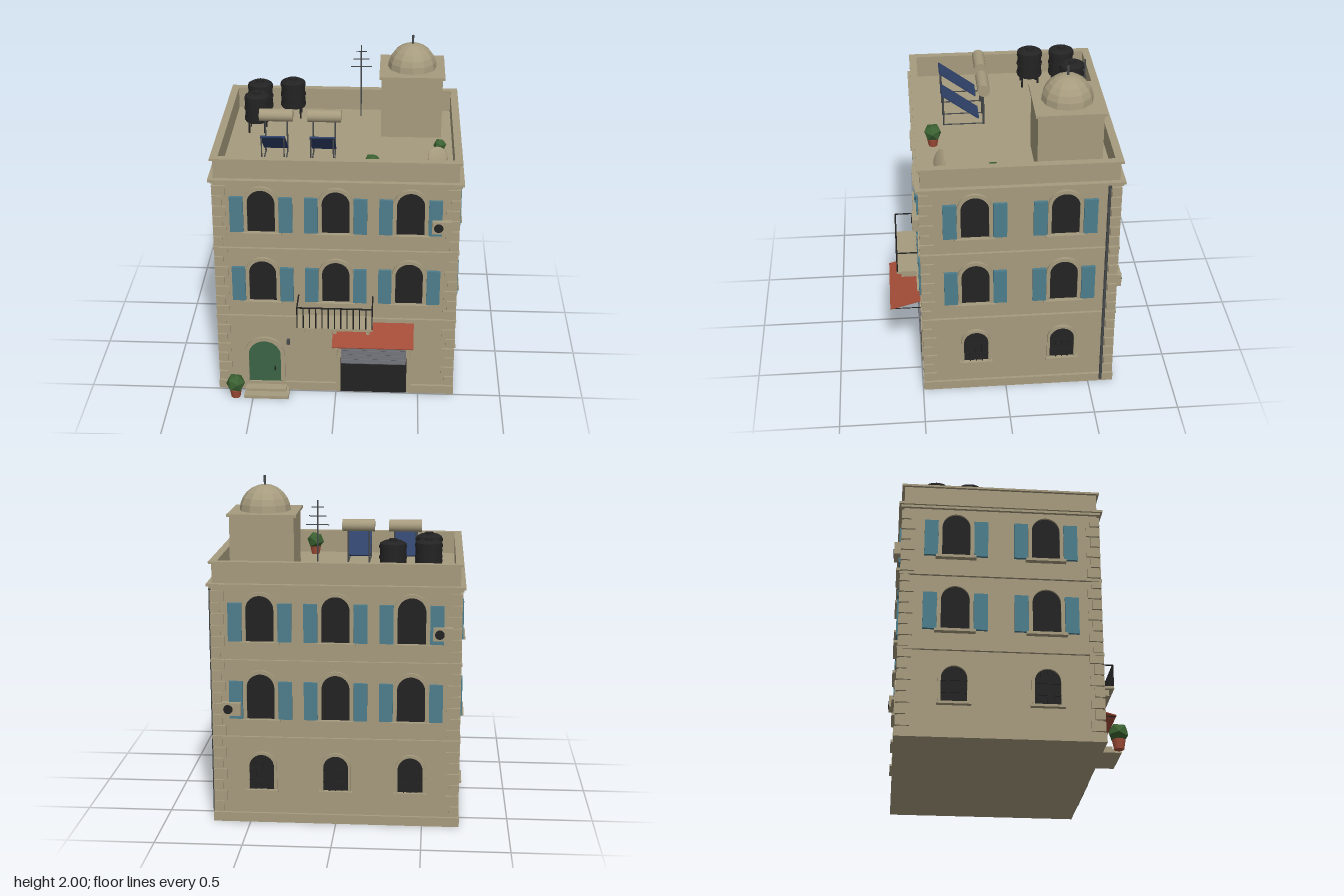
import * as THREE from 'three';

const mat = (name, color, side = THREE.FrontSide) => {
  const m = new THREE.MeshStandardMaterial({ color, side });
  m.name = name;
  return m;
};
const stone = mat('stone', 0xa69b7e), dark = mat('dark', 0x232323), teal = mat('teal shutter', 0x4d7d8c),
  doorGreen = mat('door green', 0x3a6446), leaf = mat('foliage', 0x3b6132), grey = mat('roller grey', 0x74757c),
  pipeGrey = mat('pipe grey', 0x484b4d), red = mat('terracotta', 0xa34d38), navy = mat('solar blue', 0x2f4168);

const HX = 0.70, HZ = 0.557, CZ = -0.078, ROOF = 1.41;

function add(parent, name, geo, material, x = 0, y = 0, z = 0) {
  const m = new THREE.Mesh(geo, material);
  m.name = name;
  m.position.set(x, y, z);
  parent.add(m);
  return m;
}
function group(parent, name, x = 0, y = 0, z = 0) {
  const g = new THREE.Group();
  g.name = name;
  g.position.set(x, y, z);
  parent.add(g);
  return g;
}
const box = (p, name, m, w, h, d, x, y, z) => add(p, name, new THREE.BoxGeometry(w, h, d), m, x, y, z);
const cyl = (p, name, m, r, h, x, y, z, n = 12, r2 = r) =>
  add(p, name, new THREE.CylinderGeometry(r, r2, h, n), m, x, y, z);

// Thin round bar between two points
function bar(p, name, m, a, b, r = 0.004) {
  const A = new THREE.Vector3(...a), B = new THREE.Vector3(...b), d = B.clone().sub(A);
  const c = cyl(p, name, m, r, d.length(), 0, 0, 0, 6);
  c.position.copy(A).add(B).multiplyScalar(0.5);
  c.quaternion.setFromUnitVectors(new THREE.Vector3(0, 1, 0), d.normalize());
}
// Solid arch outline: straight sides to the springing, then a half circle
function archShape(r, spring) {
  const s = new THREE.Shape();
  s.moveTo(-r, 0).lineTo(r, 0).lineTo(r, spring);
  s.absarc(0, spring, r, 0, Math.PI, false);
  s.lineTo(-r, 0);
  return s;
}
// Arched surround, open at the bottom
function frameShape(r, spring, t) {
  const s = new THREE.Shape();
  s.moveTo(r, 0).lineTo(r + t, 0).lineTo(r + t, spring);
  s.absarc(0, spring, r + t, 0, Math.PI, false);
  s.lineTo(-r - t, 0).lineTo(-r, 0).lineTo(-r, spring);
  s.absarc(0, spring, r, Math.PI, 0, true);
  s.lineTo(r, 0);
  return s;
}
const extrude = (shape, depth) => new THREE.ExtrudeGeometry(shape, { depth, bevelEnabled: false, curveSegments: 14 });
function archOpening(p, name, r, spring, t, fill) {
  add(p, name + 'Panel', extrude(archShape(r, spring), 0.005), fill);
  add(p, name + 'Surround', extrude(frameShape(r, spring, t), 0.018), stone);
}

function upperWindow(face, u, y) {
  const g = group(face, 'shutteredWindow', u, y, 0);
  archOpening(g, 'window', 0.08, 0.192, 0.021, dark);
  box(g, 'sill', stone, 0.23, 0.016, 0.034, 0, -0.002, 0.017);
  for (const s of [-1, 1]) box(g, 'shutter', teal, 0.078, 0.222, 0.018, s * 0.142, 0.118, 0.013);
}
function groundWindow(face, u) {
  const g = group(face, 'barredWindow', u, 0.2, 0);
  archOpening(g, 'window', 0.072, 0.142, 0.016, dark);
  box(g, 'sill', stone, 0.19, 0.014, 0.03, 0, -0.004, 0.015);
  for (const x of [-0.036, 0, 0.036]) box(g, 'windowBar', dark, 0.006, 0.2, 0.005, x, 0.1, 0.012);
  for (const y of [0.06, 0.13]) box(g, 'windowBar', dark, 0.144, 0.006, 0.005, 0, y, 0.012);
}
function airConditioner(face, u, y) {
  const g = group(face, 'airConditioner', u, y, 0.03);
  box(g, 'casing', stone, 0.11, 0.075, 0.038, 0, 0, 0);
  cyl(g, 'fan', dark, 0.027, 0.006, -0.018, 0, 0.02, 16).rotation.x = Math.PI / 2;
}
// Rectangular ring around the building
function ring(p, name, y0, y1, hx, hz, ix, iz) {
  const s = new THREE.Shape(), h = new THREE.Path();
  s.moveTo(-hx, -hz).lineTo(hx, -hz).lineTo(hx, hz).lineTo(-hx, hz).closePath();
  h.moveTo(-ix, -iz).lineTo(-ix, iz).lineTo(ix, iz).lineTo(ix, -iz).closePath();
  s.holes.push(h);
  add(p, name, extrude(s, y1 - y0), stone, 0, y0, CZ).rotation.x = -Math.PI / 2;
}
function pottedBush(p, x, y, z, k) {
  const g = group(p, 'pottedBush', x, y, z);
  g.scale.setScalar(k);
  cyl(g, 'pot', red, 0.038, 0.055, 0, 0.0275, 0, 10, 0.028);
  add(g, 'bush', new THREE.IcosahedronGeometry(0.06, 0), leaf, 0, 0.095, 0).rotation.set(0.3, 0.5, 0.2);
}

function buildShell(root) {
  const g = group(root, 'shell');
  box(g, 'walls', stone, 2 * HX, ROOF, 2 * HZ, 0, ROOF / 2, CZ);
  const band = (name, y0, y1, o) => box(g, name, stone, 2 * (HX + o), y1 - y0, 2 * (HZ + o), 0, (y0 + y1) / 2, CZ);
  band('plinth', 0, 0.055, 0.016);
  band('stringCourse', 0.508, 0.522, 0.016);
  band('stringCourse', 0.965, 0.98, 0.016);
  ring(g, 'corniceLower', 1.394, 1.408, HX + 0.018, HZ + 0.018, 0.673, 0.53);
  ring(g, 'cornice', 1.408, 1.422, HX + 0.03, HZ + 0.03, 0.673, 0.53);
  ring(g, 'parapet', ROOF, 1.535, HX, HZ, 0.673, 0.53);
  ring(g, 'parapetCap', 1.535, 1.547, 0.716, 0.573, 0.671, 0.528);
  // Alternating corner stones
  for (const sx of [-1, 1]) for (const sz of [-1, 1]) for (let i = 0; i < 20; i++) {
    const lx = i % 2 ? 0.078 : 0.055, lz = i % 2 ? 0.055 : 0.078, o = 0.012;
    box(g, 'quoin', stone, lx, 0.057, lz, sx * (HX + o - lx / 2), 0.092 + i * 0.0662, CZ + sz * (HZ + o - lz / 2));
  }
  bar(g, 'downpipe', pipeGrey, [0.722, 0.02, -0.575], [0.722, 1.4, -0.575], 0.009);
}

function buildFrontDetails(face) {
  // Entrance door, steps and lamp
  const door = group(face, 'entrance', -0.432, 0.035, 0);
  archOpening(door, 'door', 0.097, 0.213, 0.025, doorGreen);
  box(door, 'handle', dark, 0.008, 0.03, 0.012, 0.06, 0.115, 0.01);
  box(face, 'lowerStep', stone, 0.27, 0.02, 0.12, -0.418, 0.01, 0.06);
  box(face, 'upperStep', stone, 0.245, 0.018, 0.07, -0.422, 0.029, 0.035);
  box(face, 'wallLamp', pipeGrey, 0.018, 0.03, 0.025, -0.287, 0.345, 0.012);
  // Garage with half-raised roller shutter
  const gar = group(face, 'garage', 0.228, 0.002, 0);
  archOpening(gar, 'garage', 0.2, 0.218, 0.027, dark);
  box(gar, 'garageMouth', dark, 0.4, 0.21, 0.008, 0, 0.105, 0.015);
  for (let i = 0; i < 5; i++) {
    box(gar, 'shutterSlat', grey, 0.39, 0.028, 0.014, 0, 0.222 + i * 0.0312, 0.02);
    box(gar, 'shutterGap', pipeGrey, 0.386, 0.005, 0.009, 0, 0.2055 + i * 0.0312, 0.019);
  }
  // Sloping awning
  const aw = group(face, 'awning', 0.225, 0.485, 0);
  const sheet = box(aw, 'awningSheet', red, 0.48, 0.006, 0.206, 0, -0.028, 0.099);
  sheet.rotation.x = Math.atan2(0.056, 0.198);
  for (const x of [-0.23, 0.23]) bar(aw, 'awningArm', dark, [x, -0.059, 0], [x, -0.059, 0.195], 0.003);
  // Balcony
  const b = group(face, 'balcony', -0.001, 0.522, 0);
  box(b, 'slab', stone, 0.447, 0.016, 0.152, 0, 0, 0.076);
  for (const x of [-0.19, 0, 0.195]) box(b, 'bracket', stone, 0.02, 0.036, 0.125, x, -0.026, 0.0625);
  const rx = 0.22, rz = 0.148, top = 0.143;
  bar(b, 'topRail', dark, [-rx, top, rz], [rx, top, rz], 0.0045);
  for (const s of [-1, 1]) bar(b, 'sideRail', dark, [s * rx, top, 0], [s * rx, top, rz], 0.0045);
  for (let i = 0; i <= 12; i++) {
    const x = -rx + (i * 2 * rx) / 12;
    bar(b, 'baluster', dark, [x, 0, rz], [x, top, rz], 0.004);
  }
}

function buildFacades(root) {
  const faces = [['front', 0, 0, CZ + HZ, 0], ['back', 0, 0, CZ - HZ, Math.PI],
    ['leftSide', HX, 0, CZ, Math.PI / 2], ['rightSide', -HX, 0, CZ, -Math.PI / 2]];
  for (const [name, x, y, z, turn] of faces) {
    const face = group(root, name + 'Facade', x, y, z);
    face.rotation.y = turn;
    const columns = name.includes('Side') ? [-0.256, 0.256] : [-0.43, 0, 0.43];
    for (const u of columns) {
      for (const h of [0.625, 1.083]) upperWindow(face, u, h);
      if (name !== 'front') groundWindow(face, u);
    }
    if (name === 'front') {
      buildFrontDetails(face);
      airConditioner(face, 0.608, 1.155);
    } else if (name === 'back') {
      airConditioner(face, -0.597, 0.695);
      airConditioner(face, 0.605, 1.155);
    }
  }
}

function buildRoof(root) {
  const g = group(root, 'roofEquipment');
  // Stair tower with faceted dome
  const t = group(g, 'stairTower', 0.425, 0, -0.363);
  box(t, 'towerWalls', stone, 0.366, 1.787 - ROOF, 0.366, 0, (1.787 + ROOF) / 2, 0);
  box(t, 'towerCap', stone, 0.394, 0.015, 0.394, 0, 1.793, 0);
  const dome = new THREE.SphereGeometry(0.148, 12, 6, 0, Math.PI * 2, 0, Math.PI / 2).toNonIndexed();
  dome.computeVertexNormals();
  add(t, 'dome', dome, stone, 0, 1.8, 0);
  cyl(t, 'finial', pipeGrey, 0.007, 0.065, 0, 1.9675, 0, 8);
  // Water tanks on legs
  for (const [x, z] of [[-0.517, -0.45], [-0.316, -0.493], [-0.517, -0.252]]) {
    const w = group(g, 'waterTank', x, ROOF, z);
    cyl(w, 'tankBody', dark, 0.075, 0.16, 0, 0.148, 0, 20);
    for (const y of [0.085, 0.148, 0.21]) cyl(w, 'tankBand', dark, 0.079, 0.014, 0, y, 0, 20);
    cyl(w, 'tankShoulder', dark, 0.05, 0.014, 0, 0.235, 0, 20, 0.075);
    cyl(w, 'tankLid', dark, 0.024, 0.012, 0, 0.247, 0, 14);
    for (const a of [-1, 1]) for (const b of [-1, 1]) bar(w, 'tankLeg', dark, [a * 0.048, 0, b * 0.048], [a * 0.048, 0.07, b * 0.048], 0.006);
  }
  // Solar water heaters
  for (const x of [-0.371, -0.087]) {
    const s = group(g, 'solarHeater', x, ROOF, 0);
    cyl(s, 'heaterTank', stone, 0.037, 0.197, 0, 0.236, 0.073, 16).rotation.z = Math.PI / 2;
    const p = box(s, 'solarPanel', navy, 0.143, 0.01, 0.27, 0, 0.124, 0.211);
    p.rotation.x = -Math.atan2(0.16, 0.215);
    for (const a of [-0.065, 0.065]) {
      bar(s, 'heaterPost', pipeGrey, [a, 0, 0.073], [a, 0.22, 0.073], 0.005);
      bar(s, 'panelLeg', pipeGrey, [a, 0, 0.31], [a, 0.19, 0.31], 0.004);
      bar(s, 'floorRail', pipeGrey, [a, 0.006, 0.073], [a, 0.006, 0.31], 0.004);
    }
  }
  // Aerial
  const a = group(g, 'aerial', 0.11, 0, -0.505);
  bar(a, 'mast', pipeGrey, [0, ROOF, 0], [0, 1.88, 0], 0.005);
  [[1.84, 0.035], [1.79, 0.05], [1.74, 0.065]].forEach(([y, r]) => bar(a, 'aerialRod', pipeGrey, [-r, y, 0], [r, y, 0], 0.003));
  // Satellite dish
  const d = group(g, 'satelliteDish', 0.575, 1.525, 0.36);
  const dish = add(d, 'dish', new THREE.SphereGeometry(0.061, 16, 10), stone);
  dish.scale.y = 0.2;
  dish.quaternion.setFromUnitVectors(new THREE.Vector3(0, 1, 0), new THREE.Vector3(0.36, 0.4, 0.84).normalize());
  bar(d, 'dishPost', pipeGrey, [0, ROOF - 1.525, -0.012], [0, 0, -0.012], 0.006);
  // Roof plants
  pottedBush(g, 0.205, ROOF, 0.385, 0.9);
  pottedBush(g, 0.595, ROOF, 0.065, 0.65);
}

export function createModel() {
  const root = new THREE.Group();
  root.name = 'townhouse';
  buildShell(root);
  buildFacades(root);
  buildRoof(root);
  pottedBush(root, -0.605, 0, 0.575, 1);
  return root;
}
